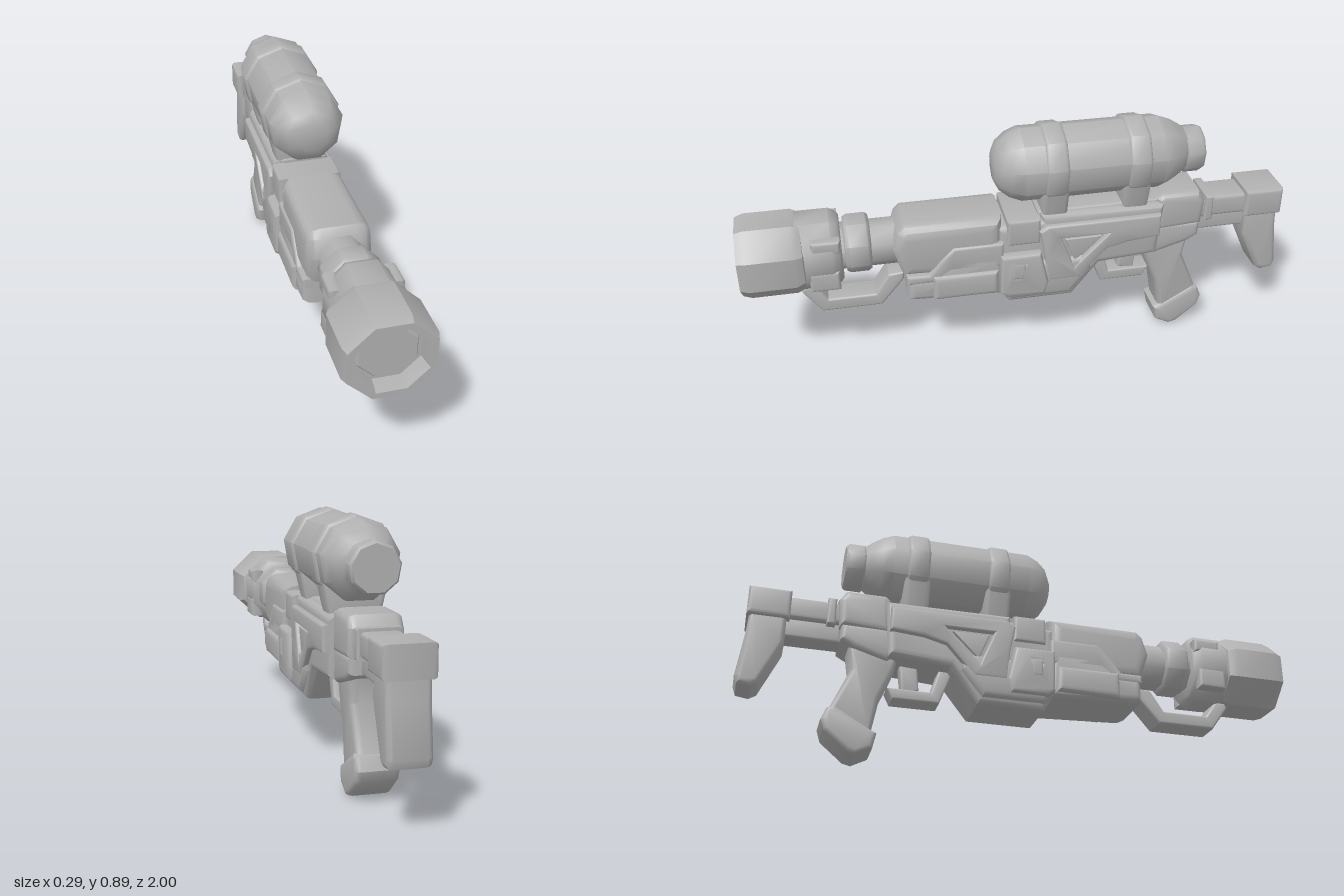
import * as THREE from 'three';
import { toCreasedNormals } from 'three/addons/utils/BufferGeometryUtils.js';

export function createModel() {
  const model = new THREE.Group();
  const grey = new THREE.MeshStandardMaterial({ color: 0xb0b0b0 });
  grey.name = 'grey';

  const add = (name, geometry) => {
    const mesh = new THREE.Mesh(geometry, grey);
    mesh.name = name;
    model.add(mesh);
    return mesh;
  };
  const toVectors = (list) => list.map(([a, b]) => new THREE.Vector2(a, b));

  // Side outline of [z, y] points, extruded across x to +-half with softly rounded edges
  const slab = (name, points, half, thick = 0.02, size = thick, holes = []) => {
    const shape = new THREE.Shape(toVectors(points));
    holes.forEach((h) => shape.holes.push(new THREE.Path(toVectors(h))));
    const depth = 2 * (half - thick);
    const geometry = new THREE.ExtrudeGeometry(shape, {
      depth, bevelThickness: thick, bevelSize: size, bevelOffset: -size, bevelSegments: 3,
    });
    geometry.translate(0, 0, -depth / 2).rotateY(-Math.PI / 2);
    return add(name, toCreasedNormals(geometry, 0.62));
  };
  const box = (name, z0, z1, y0, y1, half, bevel = 0.015) =>
    slab(name, [[z0, y0], [z1, y0], [z1, y1], [z0, y1]], half, bevel);

  // Turned part along z from [z, radius] points, listed back to front
  const turned = (name, points, y, sides, start, crease, sx = 1) => {
    const profile = points.map(([z, r]) => new THREE.Vector2(r, z));
    const geometry = new THREE.LatheGeometry(profile, sides, start);
    geometry.rotateX(Math.PI / 2).scale(sx, 1, 1).translate(0, y, 0);
    return add(name, toCreasedNormals(geometry, crease));
  };

  // Muzzle: narrower rear half, wide front with a stepped octagonal bore
  const eighth = Math.PI / 8;
  turned('muzzleRear', [[0.645, 0], [0.645, 0.115], [0.655, 0.13], [0.68, 0.143], [0.82, 0.143]],
    0.479, 8, eighth, 0.9, 0.93);
  turned('muzzleFront', [[0.775, 0.12], [0.78, 0.135], [0.81, 0.149], [0.97, 0.149],
    [1.0, 0.139], [1.0, 0.118], [0.975, 0.112], [0.945, 0.108], [0.945, 0.096], [0.955, 0.09], [0.955, 0]],
  0.479, 8, eighth, 0.5, 1.07);
  for (const side of [-1, 1]) {
    const block = box('muzzleBlock', 0.66, 0.765, 0.375, 0.45, 0.025, 0.012);
    block.position.x = side * 0.1;
    const topBlock = box('muzzleTopBlock', 0.65, 0.75, 0.52, 0.57, 0.025, 0.012);
    topBlock.position.x = side * 0.096;
  }
  turned('barrelNeck', [[0.40, 0], [0.40, 0.085], [0.66, 0.085], [0.66, 0]], 0.482, 8, eighth, 0.9);
  turned('barrelCollar', [[0.54, 0.07], [0.545, 0.098], [0.555, 0.106], [0.62, 0.106], [0.633, 0.098], [0.638, 0.07]],
    0.487, 8, eighth, 0.9);

  // Front handle loop under the barrel
  slab('frontHandle', [[0.80, 0.33], [0.735, 0.24], [0.52, 0.24], [0.435, 0.34], [0.435, 0.37], [0.49, 0.365],
    [0.54, 0.288], [0.71, 0.288], [0.75, 0.345], [0.79, 0.35]], 0.05, 0.008);

  // Handguard: upper shell, lower shell and raised side panels
  slab('upperHandguard', [[0.475, 0.49], [0.44, 0.38], [0.08, 0.36], [0.08, 0.585], [0.43, 0.585], [0.455, 0.56]],
    0.113, 0.05, 0.045);
  slab('lowerHandguard', [[0.43, 0.38], [0.43, 0.29], [0.41, 0.28], [0.08, 0.265], [0.08, 0.45], [0.30, 0.45], [0.34, 0.38]],
    0.122, 0.04, 0.028);
  slab('handguardPanel', [[0.43, 0.39], [0.43, 0.355], [0.33, 0.355], [0.27, 0.395], [0.08, 0.395], [0.08, 0.49],
    [0.26, 0.49], [0.31, 0.44], [0.35, 0.39]], 0.122, 0.012);
  box('handguardLowerPanel', 0.10, 0.34, 0.285, 0.385, 0.135, 0.022);

  // Receiver
  slab('receiver', [[0.10, 0.54], [0.10, 0.28], [0.06, 0.218], [-0.18, 0.218], [-0.28, 0.345], [-0.50, 0.36],
    [-0.52, 0.57], [-0.06, 0.575], [-0.06, 0.555]], 0.105, 0.028);
  slab('magazineHousing', [[0.105, 0.40], [0.105, 0.28], [0.06, 0.235], [-0.17, 0.235], [-0.25, 0.33], [-0.25, 0.40]],
    0.122, 0.045, 0.025);
  slab('receiverPlate', [[-0.05, 0.52], [-0.07, 0.42], [-0.08, 0.31], [-0.20, 0.31], [-0.30, 0.42], [-0.38, 0.44],
    [-0.50, 0.45], [-0.50, 0.54], [-0.08, 0.54]], 0.125, 0.012, 0.01,
  [[[-0.13, 0.485], [-0.305, 0.485], [-0.18, 0.36]]]);
  slab('triangleInset', [[-0.145, 0.475], [-0.28, 0.475], [-0.183, 0.38]], 0.115, 0.005);
  slab('sidePort', [[0.095, 0.44], [0.095, 0.28], [0.07, 0.26], [-0.07, 0.26], [-0.085, 0.31], [-0.055, 0.44]],
    0.137, 0.025, 0.015, [[[0.065, 0.415], [0.065, 0.32], [0.0, 0.32], [0.0, 0.35], [-0.02, 0.415]]]);
  box('sideButton', 0.0, 0.05, 0.335, 0.40, 0.13, 0.008);
  box('ejectionCover', -0.055, 0.065, 0.47, 0.57, 0.115, 0.012);
  box('receiverRail', -0.5, -0.05, 0.545, 0.58, 0.075, 0.01);

  // Gas tank with nine sides, straps and end cap
  const tankY = 0.742;
  turned('tank', [[-0.60, 0], [-0.60, 0.078], [-0.575, 0.098], [-0.54, 0.12], [-0.50, 0.135], [0, 0.136],
    [0.045, 0.118], [0.08, 0.09], [0.098, 0.055], [0.10, 0]], tankY, 9, Math.PI, 0.72);
  turned('tankCap', [[-0.665, 0], [-0.665, 0.078], [-0.655, 0.086], [-0.60, 0.086], [-0.59, 0.075]],
    tankY - 0.005, 9, Math.PI, 0.72);
  for (const z of [-0.112, -0.41]) {
    turned('tankStrap', [[z - 0.042, 0.128], [z - 0.037, 0.14], [z - 0.028, 0.145], [z + 0.028, 0.145],
      [z + 0.037, 0.14], [z + 0.042, 0.128]], tankY, 9, Math.PI, 0.72);
    // Saddle: tapered foot wrapping the tank's underside
    const saddle = new THREE.Shape(toVectors([[-0.085, 0.55], [0.085, 0.55], [0.098, 0.60], [0.115, 0.675],
      [-0.115, 0.675], [-0.098, 0.60]]));
    const foot = new THREE.ExtrudeGeometry(saddle, {
      depth: 0.062, bevelThickness: 0.016, bevelSize: 0.016, bevelOffset: -0.016, bevelSegments: 3,
    });
    add('tankSaddle', toCreasedNormals(foot.translate(0, 0, z - 0.031), 0.62));
  }

  // Rear receiver and stock
  slab('rearCap', [[-0.495, 0.58], [-0.495, 0.45], [-0.67, 0.46], [-0.68, 0.56], [-0.655, 0.598], [-0.515, 0.598]],
    0.092, 0.03, 0.025);
  slab('rearLower', [[-0.46, 0.47], [-0.46, 0.38], [-0.50, 0.35], [-0.62, 0.385], [-0.665, 0.41], [-0.665, 0.47]], 0.085, 0.02);
  box('stockTube', -0.86, -0.66, 0.475, 0.555, 0.065, 0.015);
  box('stockLowerTube', -0.86, -0.66, 0.41, 0.485, 0.045, 0.012);
  box('stockCollar', -0.715, -0.685, 0.465, 0.565, 0.075, 0.008);
  box('buttBlock', -0.985, -0.84, 0.465, 0.57, 0.084, 0.014);
  slab('buttLeg', [[-0.85, 0.48], [-0.85, 0.375], [-0.92, 0.22], [-0.945, 0.205], [-0.99, 0.212], [-1.0, 0.24],
    [-0.98, 0.40], [-0.975, 0.48]], 0.07, 0.018);

  // Pistol grip with a heavier foot
  slab('grip', [[-0.455, 0.40], [-0.47, 0.32], [-0.515, 0.21], [-0.54, 0.07], [-0.69, 0.145], [-0.62, 0.31],
    [-0.635, 0.40]], 0.066, 0.026, 0.02);
  slab('gripFoot', [[-0.518, 0.085], [-0.53, 0.028], [-0.585, 0.0], [-0.615, 0.008], [-0.695, 0.075], [-0.708, 0.115],
    [-0.69, 0.16], [-0.665, 0.168], [-0.54, 0.095]], 0.074, 0.02, 0.016);

  // Trigger and its guard
  slab('triggerGuard', [[-0.26, 0.35], [-0.305, 0.225], [-0.47, 0.225], [-0.49, 0.265], [-0.335, 0.265], [-0.31, 0.35]],
    0.04, 0.007);
  slab('trigger', [[-0.385, 0.37], [-0.375, 0.27], [-0.435, 0.25], [-0.45, 0.37]], 0.025, 0.008);

  return model;
}
